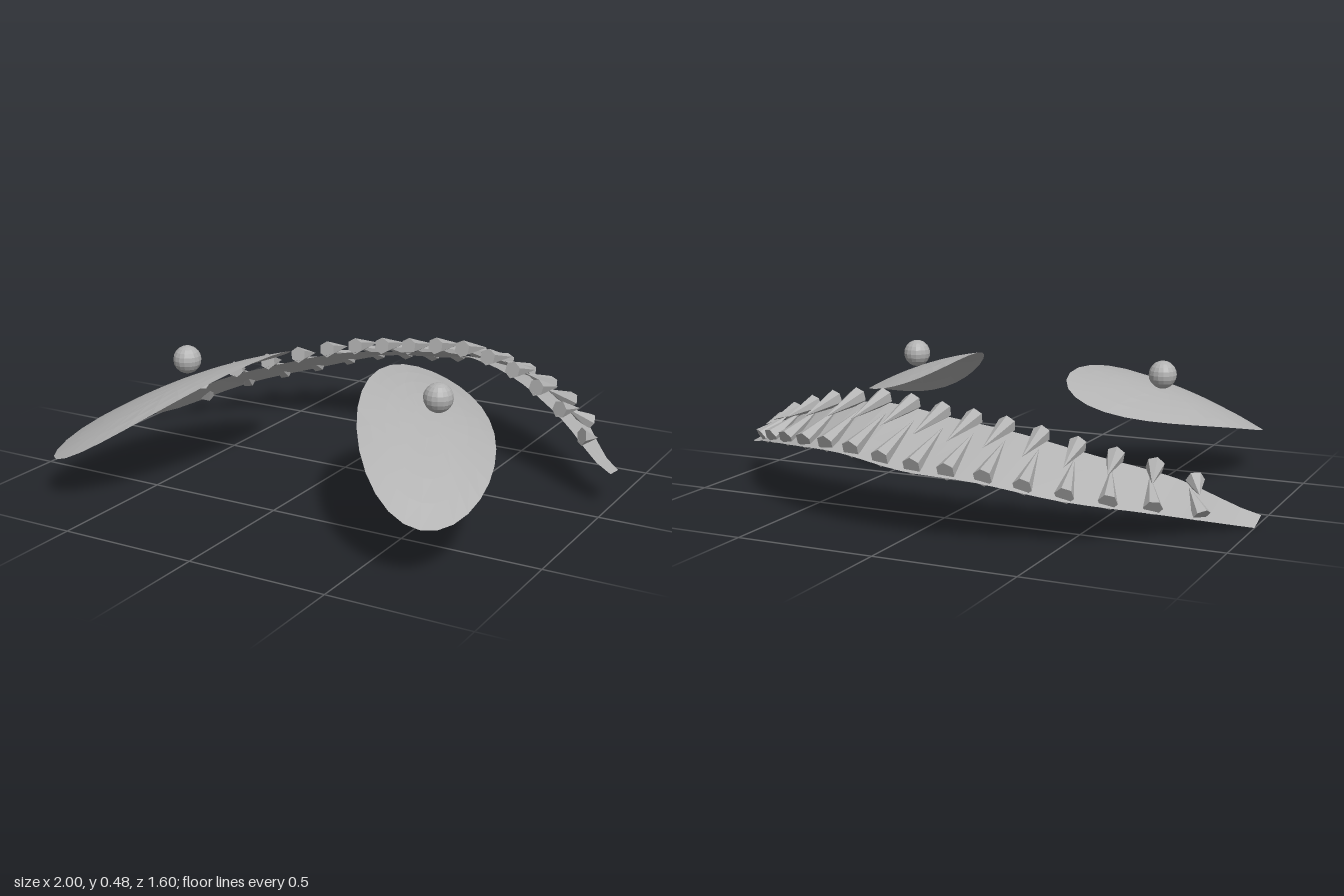
import * as THREE from 'three';

const grey = new THREE.MeshStandardMaterial({ color: 0xb2b2b2, side: THREE.DoubleSide });
grey.name = 'plain grey';

// Smooth value along x from samples evenly spaced between x = -1 and x = 1
const profile = (values) => {
  const curve = new THREE.SplineCurve(values.map((v, i) => new THREE.Vector2(-1 + (2 * i) / (values.length - 1), v)));
  return (x) => curve.getPoint((x + 1) / 2).y;
};
const outerZ = profile([-0.18, -0.47, -0.66, -0.77, -0.8, -0.77, -0.66, -0.47, -0.18]);
const innerZ = profile([-0.1, -0.25, -0.37, -0.43, -0.44, -0.43, -0.37, -0.25, -0.1]);
const outerY = profile([0.005, 0.095, 0.155, 0.215, 0.235, 0.265, 0.245, 0.2, 0.12]);
const innerY = profile([0.03, 0.165, 0.245, 0.31, 0.345, 0.375, 0.34, 0.25, 0.13]);

// Point on the arched band: v = 0 on the inner edge, 1 on the outer edge
const bandPoint = (x, v, lift = 0) => new THREE.Vector3(
  x,
  THREE.MathUtils.lerp(innerY(x), outerY(x), v) + lift,
  THREE.MathUtils.lerp(innerZ(x), outerZ(x), v)
);

// Mesh with faceted shading
function facetedMesh(name, geometry) {
  const flat = geometry.index ? geometry.toNonIndexed() : geometry;
  flat.computeVertexNormals();
  const mesh = new THREE.Mesh(flat, grey);
  mesh.name = name;
  return mesh;
}

// Move every vertex of a geometry by a rule
function reshape(geometry, rule) {
  const pos = geometry.attributes.position;
  for (let i = 0; i < pos.count; i++) {
    const p = rule(pos.getX(i), pos.getY(i));
    pos.setXYZ(i, p.x, p.y, p.z);
  }
  return geometry;
}

// Six-sided spike from a wide base to a point
function spike(name, base, tip) {
  const dir = tip.clone().sub(base);
  const length = dir.length();
  const mesh = facetedMesh(name, new THREE.ConeGeometry(0.033, length, 6));
  mesh.position.copy(base).add(tip).multiplyScalar(0.5);
  mesh.quaternion.setFromUnitVectors(new THREE.Vector3(0, 1, 0), dir.normalize());
  return mesh;
}

// Shallow tilted oval shell; side is +1 or -1
function shell(name, side, height, tilt) {
  return facetedMesh(name, reshape(new THREE.RingGeometry(0, 1, 28, 5), (px, py) => {
    const c = -side * px; // towards the middle of the model
    const s = -py;        // towards the front
    const r2 = c * c + s * s;
    return new THREE.Vector3(
      side * (0.513 + 0.15 * s - 0.248 * c),
      height - 0.0925 * s + tilt * c + 0.03 * (c * c - s * s) + 0.055 * (1 - r2),
      0.35 + 0.45 * s
    );
  }));
}

export function createModel() {
  const model = new THREE.Group();
  model.name = 'model';

  // Arched band at the back
  model.add(facetedMesh('archedBand', reshape(new THREE.PlaneGeometry(2, 1, 32, 3),
    (x, y) => bandPoint(x, y + 0.5))));

  // Two staggered rows of spikes pointing at each other
  const spikes = new THREE.Group();
  spikes.name = 'spikes';
  for (let i = 0; i < 15; i++) {
    const xo = -0.86 + i * 0.1186;
    const outerBase = bandPoint(xo, 0.97, 0.015);
    const outerTip = bandPoint(xo * 0.93, 0.32, 0.03);
    spikes.add(spike('outerSpike', outerBase, outerTip));

    const xi = -0.803 + i * 0.1186;
    const innerBase = bandPoint(xi, 0.03, 0.025);
    const innerTip = bandPoint(xi * 1.05, 0.65, 0.05);
    spikes.add(spike('innerSpike', innerBase, innerTip));
  }
  model.add(spikes);

  // Oval shells, each with a ball resting on it
  for (const [label, side, height, tilt, ballY] of [
    ['left', 1, 0.32, 0.09, 0.433],
    ['right', -1, 0.295, 0.1, 0.42],
  ]) {
    model.add(shell(label + 'Shell', side, height, tilt));
    const ball = facetedMesh(label + 'Ball', new THREE.SphereGeometry(0.052, 16, 10));
    ball.position.set(side * 0.514, ballY, 0.27);
    model.add(ball);
  }
  return model;
}
